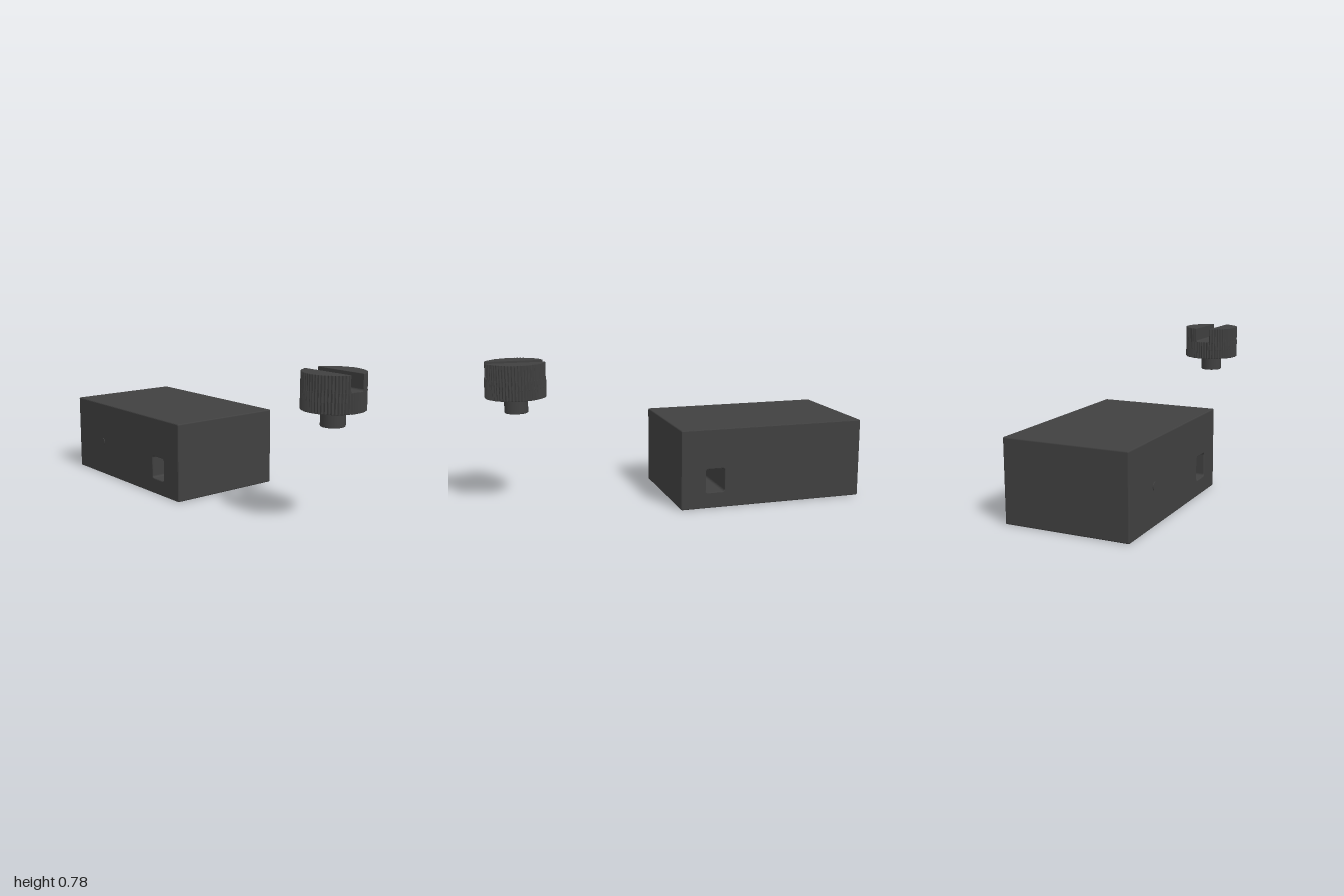
import * as THREE from 'three';

const charcoal = new THREE.MeshStandardMaterial({ color: 0x404040 });
charcoal.name = 'charcoal';

function add(parent, name, geometry, x = 0, y = 0, z = 0) {
  const mesh = new THREE.Mesh(geometry, charcoal);
  mesh.name = name;
  mesh.position.set(x, y, z);
  parent.add(mesh);
  return mesh;
}

// Rounded rectangle drawn counter-clockwise
function roundedRect(path, x0, y0, x1, y1, r) {
  path.moveTo(x0 + r, y0);
  path.lineTo(x1 - r, y0);
  path.absarc(x1 - r, y0 + r, r, -Math.PI / 2, 0);
  path.lineTo(x1, y1 - r);
  path.absarc(x1 - r, y1 - r, r, 0, Math.PI / 2);
  path.lineTo(x0 + r, y1);
  path.absarc(x0 + r, y1 - r, r, Math.PI / 2, Math.PI);
  path.lineTo(x0, y0 + r);
  path.absarc(x0 + r, y0 + r, r, Math.PI, Math.PI * 1.5);
  return path;
}

// Extrude with a small bevel that stays inside the outline
function bevelled(shape, depth, bevel) {
  const g = new THREE.ExtrudeGeometry(shape, {
    depth: depth - 2 * bevel, bevelEnabled: true, bevelThickness: bevel,
    bevelSize: bevel, bevelOffset: -bevel, bevelSegments: 2, curveSegments: 5,
  });
  g.translate(0, 0, bevel);
  return g;
}

// Knurled outline between two angles
const TEETH = 60;
function knurl(from, to) {
  const pts = [];
  const n = Math.round(((to - from) / (Math.PI * 2)) * TEETH * 4);
  const full = to - from > 6.28;
  for (let i = 0; i < (full ? n : n + 1); i++) {
    const a = from + ((to - from) * i) / n;
    const r = 0.157 + 0.003 * Math.cos(a * TEETH);
    pts.push(new THREE.Vector2(r * Math.cos(a), r * Math.sin(a)));
  }
  return new THREE.Shape(pts);
}

export function createModel() {
  const model = new THREE.Group();
  model.name = 'enclosureAndKnob';

  // Case: side profile with a window running right through
  const profile = roundedRect(new THREE.Shape(), -0.035, 0, 1, 0.43, 0.007);
  profile.holes.push(roundedRect(new THREE.Path(), 0.102, 0.087, 0.207, 0.213, 0.012));
  const caseGeo = bevelled(profile, 0.66, 0.005);
  caseGeo.rotateY(Math.PI / 2);
  add(model, 'case', caseGeo, -0.33, 0, 0);

  // Small round indicator in the side wall
  const button = new THREE.CylinderGeometry(0.021, 0.021, 0.024, 24);
  button.rotateZ(Math.PI / 2);
  add(model, 'indicator', button, -0.322, 0.2, -0.73);

  // Slotted knob
  const knob = new THREE.Group();
  knob.name = 'knob';
  knob.position.set(0.002, 0, 0.842);
  model.add(knob);

  const base = bevelled(knurl(0, Math.PI * 2), 0.104, 0.003);
  base.rotateX(-Math.PI / 2);
  add(knob, 'knobBase', base, 0, 0.597, 0);

  // Two raised halves either side of the slot
  const half = 0.043;
  const limit = Math.acos(half / 0.157);
  for (const [name, turn] of [['leftGrip', 0], ['rightGrip', Math.PI]]) {
    const grip = bevelled(knurl(turn - limit, turn + limit), 0.132, 0.002);
    grip.rotateX(-Math.PI / 2);
    add(knob, name, grip, 0, 0.65, 0);
  }

  // Fillets along the bottom corners of the slot
  const r = 0.011;
  const corner = new THREE.Shape();
  corner.moveTo(0, 0);
  corner.lineTo(r, 0);
  corner.absarc(r, r, r, -Math.PI / 2, -Math.PI, true);
  corner.lineTo(0, 0);
  for (const side of [-1, 1]) {
    const fillet = new THREE.ExtrudeGeometry(corner, { depth: 0.302, bevelEnabled: false, curveSegments: 5 });
    fillet.translate(0, 0, -0.151);
    if (side > 0) fillet.rotateY(Math.PI);
    add(knob, 'slotFillet', fillet, side * half, 0.7, 0);
  }

  // Stem with softened lower edge
  const stem = new THREE.LatheGeometry([
    [0, 0.514], [0.059, 0.514], [0.059, 0.514], [0.062, 0.517], [0.062, 0.517], [0.062, 0.6],
  ].map(([x, y]) => new THREE.Vector2(x, y)), 40);
  add(knob, 'stem', stem);

  return model;
}
